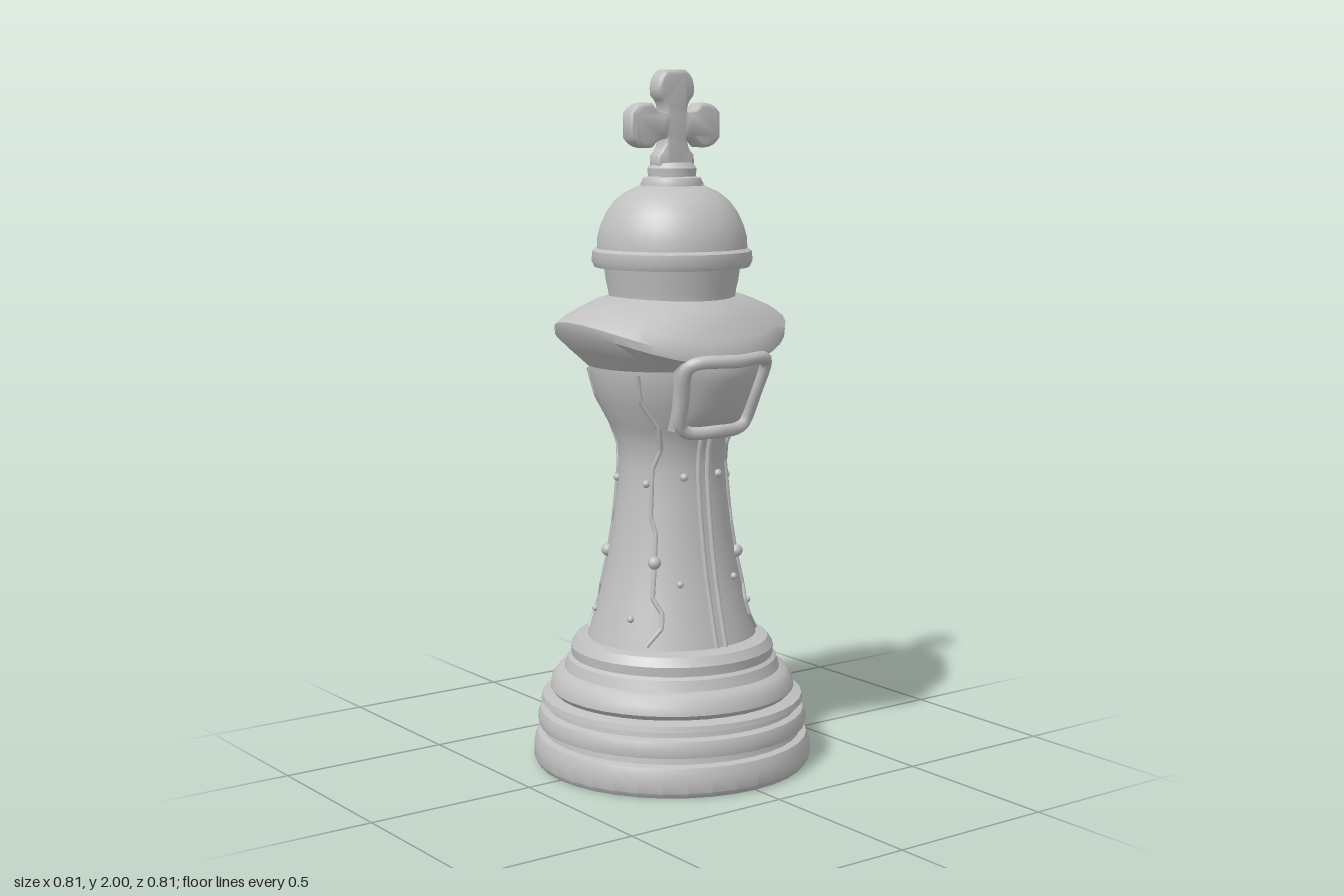
import * as THREE from 'three';
import { toCreasedNormals } from 'three/addons/utils/BufferGeometryUtils.js';

const SEG = 36;
const stone = new THREE.MeshStandardMaterial({ color: 0xc0c0c0 });
stone.name = 'grey stone';

const V2 = (p) => p.map(([x, y]) => new THREE.Vector2(x, y));

// Turned part from a bottom-to-top profile of [radius, height]
function turned(profile, crease = 0.6) {
  return toCreasedNormals(new THREE.LatheGeometry(V2(profile), SEG), crease);
}

// Body profile, also used to lay details on its surface
const BODY = [[0.26, 0.34], [0.245, 0.4], [0.215, 0.5], [0.192, 0.6], [0.175, 0.7], [0.162, 0.8], [0.156, 0.88],
  [0.162, 0.95], [0.185, 1.0], [0.215, 1.06], [0.236, 1.12], [0.248, 1.18], [0.245, 1.22]];
const DEPTH = 0.94;

function bodyRadius(y) {
  for (let i = 1; i < BODY.length; i++) {
    const [r0, y0] = BODY[i - 1], [r1, y1] = BODY[i];
    if (y <= y1) return r0 + (r1 - r0) * (y - y0) / (y1 - y0);
  }
  return BODY[BODY.length - 1][0];
}

// Point on the body: angle in degrees from the front, height, and lift
function onBody(deg, y, lift = 0) {
  const a = THREE.MathUtils.degToRad(deg), r = bodyRadius(y) + lift;
  return new THREE.Vector3(Math.sin(a) * r, y, Math.cos(a) * r * DEPTH);
}

export function createModel() {
  const model = new THREE.Group();
  model.name = 'chessKing';
  const add = (name, geometry, parent = model) => {
    const mesh = new THREE.Mesh(geometry, stone);
    mesh.name = name;
    parent.add(mesh);
    return mesh;
  };
  const group = (name) => {
    const g = new THREE.Group();
    g.name = name;
    model.add(g);
    return g;
  };

  // Stepped base
  add('base', turned([[0, 0], [0.395, 0], [0.405, 0.015], [0.405, 0.06], [0.395, 0.085], [0.375, 0.09],
    [0.372, 0.108], [0.39, 0.112], [0.394, 0.135], [0.385, 0.158], [0.366, 0.164], [0.364, 0.178],
    [0.384, 0.184], [0.38, 0.2], [0.345, 0.208], [0.357, 0.222], [0.352, 0.25], [0.335, 0.272], [0.315, 0.28],
    [0.305, 0.31], [0.294, 0.318], [0.296, 0.345], [0.28, 0.37], [0.24, 0.378], [0, 0.378]]));

  // Flared body
  add('body', turned(BODY, 1)).scale.z = DEPTH;

  // Hat brim: sides turned up, front and back drooping
  const brim = new THREE.LatheGeometry(V2([[0.2, 1.17], [0.25, 1.17], [0.3, 1.22], [0.348, 1.28], [0.351, 1.305],
    [0.32, 1.325], [0.27, 1.345], [0.22, 1.362], [0.17, 1.368]]), SEG);
  const bp = brim.attributes.position;
  for (let i = 0; i < bp.count; i++) {
    const x = bp.getX(i), y = bp.getY(i), z = bp.getZ(i), r = Math.hypot(x, z);
    const t = Math.max(0, (r - 0.18) / 0.17), c = (z / r) ** 2;
    bp.setZ(i, z * (1 - t * (z > 0 ? 0.19 : 0.14)));
    bp.setY(i, y - 0.09 * t * c * Math.min(1, Math.max(0, (y - 1.17) / 0.1)));
  }
  brim.deleteAttribute('normal');
  add('hatBrim', toCreasedNormals(brim, 0.7));

  // Hat band, dome and finial collar
  add('hatBand', turned([[0.18, 1.34], [0.183, 1.38], [0.19, 1.41], [0.198, 1.47]]));
  add('dome', turned([[0.17, 1.445], [0.222, 1.447], [0.23, 1.465], [0.228, 1.492], [0.215, 1.5], [0.214, 1.53],
    [0.204, 1.565], [0.188, 1.6], [0.164, 1.633], [0.132, 1.658], [0.092, 1.676], [0, 1.68]]));
  add('collar', turned([[0.088, 1.66], [0.09, 1.68], [0.082, 1.698], [0.068, 1.702], [0.07, 1.725],
    [0.058, 1.74], [0, 1.742]]));

  // Cross with four flared arms
  const cross = new THREE.Shape();
  const arm = [[0.026, 0.026], [0.024, 0.068], [0.05, 0.088], [0.056, 0.125], [0.03, 0.143]];
  const armLoop = [...arm, ...arm.map(([x, y]) => [-x, y]).reverse()];
  for (let k = 0; k < 4; k++) {
    const c = [1, 0, -1, 0][k], s = [0, 1, 0, -1][k];
    const p = armLoop.map(([x, y]) => [x * c - y * s, x * s + y * c]);
    if (k === 0) cross.moveTo(...p[0]); else cross.lineTo(...p[0]);
    cross.quadraticCurveTo(...p[1], ...p[2]);
    cross.quadraticCurveTo(...p[3], ...p[4]);
    cross.lineTo(...p[5]);
    cross.quadraticCurveTo(...p[6], ...p[7]);
    cross.quadraticCurveTo(...p[8], ...p[9]);
  }
  const crossGeo = new THREE.ExtrudeGeometry(cross, { depth: 0.032, bevelThickness: 0.012, bevelSize: 0.012,
    bevelSegments: 3, curveSegments: 5 });
  crossGeo.translate(0, 1.845, -0.016);
  add('cross', toCreasedNormals(crossGeo, 0.9));

  // Tilted, curved face plates with a rounded frame, at front and back
  function facePlate(name, zLow, zHigh, yLow, yHigh, wLow, wHigh, thick) {
    const g = group(name);
    // u and v run from -1 to 1 over the plate
    const place = (u, v, out) => {
      const f = (v + 1) / 2, x = u * THREE.MathUtils.lerp(wLow, wHigh, f);
      const z = THREE.MathUtils.lerp(zLow, zHigh, f) - 2.2 * x * x + out;
      return new THREE.Vector3(x, THREE.MathUtils.lerp(yLow, yHigh, f), z);
    };
    const loop = [[-0.8, -1], [0, -1.02], [0.8, -1], [0.97, -0.83], [1, 0], [1, 0.83], [0.85, 1], [0, 1.02],
      [-0.85, 1], [-1, 0.83], [-1, 0], [-0.97, -0.83]].map(([u, v]) => place(u, v, 0));
    add('frame', new THREE.TubeGeometry(new THREE.CatmullRomCurve3(loop, true), 72, thick, 8, true), g);
    const pane = new THREE.BoxGeometry(2, 2, 1, 8, 8, 1), p = pane.attributes.position;
    for (let i = 0; i < p.count; i++) {
      const u = p.getX(i), v = p.getY(i);
      const bulge = 0.022 * (1 - u ** 4) * (1 - v ** 4) - 0.016;
      const q = place(u, v, p.getZ(i) > 0 ? bulge : -0.1);
      p.setXYZ(i, q.x, q.y, q.z);
    }
    pane.deleteAttribute('normal');
    add('pane', toCreasedNormals(pane, 0.8), g);
    return g;
  }
  facePlate('frontVisor', 0.215, 0.305, 0.998, 1.2, 0.115, 0.14, 0.019);
  facePlate('backPlate', 0.19, 0.24, 0.995, 1.17, 0.1, 0.13, 0.014).rotation.y = Math.PI;

  // Raised lines that follow the body
  const line = (name, pts, radius, parent) => {
    const path = new THREE.CurvePath();
    const p = pts.map(([d, y]) => onBody(d, y));
    for (let i = 1; i < p.length; i++) path.add(new THREE.LineCurve3(p[i - 1], p[i]));
    add(name, new THREE.TubeGeometry(path, 40, radius, 6), parent);
  };

  // Double seam down the front and back
  const seams = group('seams');
  const heights = [0.37, 0.45, 0.55, 0.65, 0.75, 0.85, 0.92, 0.98];
  for (const mid of [0, 180]) for (const side of [-1, 1]) {
    const pts = heights.map((y) => [mid + side * THREE.MathUtils.radToDeg(0.016 / bodyRadius(y)), y]);
    line('seam', pts, 0.008, seams);
  }

  // Stepped inlay lines, nodes and rivets on the four quarters
  const inlays = group('inlays');
  const upper = [[58, 1.16], [58, 1.08], [46, 1.0], [46, 0.94], [56, 0.88], [56, 0.75], [50, 0.7], [50, 0.63]];
  const lower = [[50, 0.61], [50, 0.52], [42, 0.48], [42, 0.44], [52, 0.39]];
  const rivets = [[22, 0.86, 0.012], [50, 0.62, 0.019], [62, 0.84, 0.011], [28, 0.56, 0.01], [66, 0.46, 0.01]];
  for (const [mid, side] of [[0, 1], [0, -1], [180, 1], [180, -1]]) {
    for (const pts of [upper, lower]) line('inlayLine', pts.map(([d, y]) => [mid + side * d, y]), 0.007, inlays);
    for (const [d, y, r] of rivets) {
      add('rivet', new THREE.SphereGeometry(r, 10, 8), inlays).position.copy(onBody(mid + side * d, y, 0.003));
    }
  }

  return model;
}
